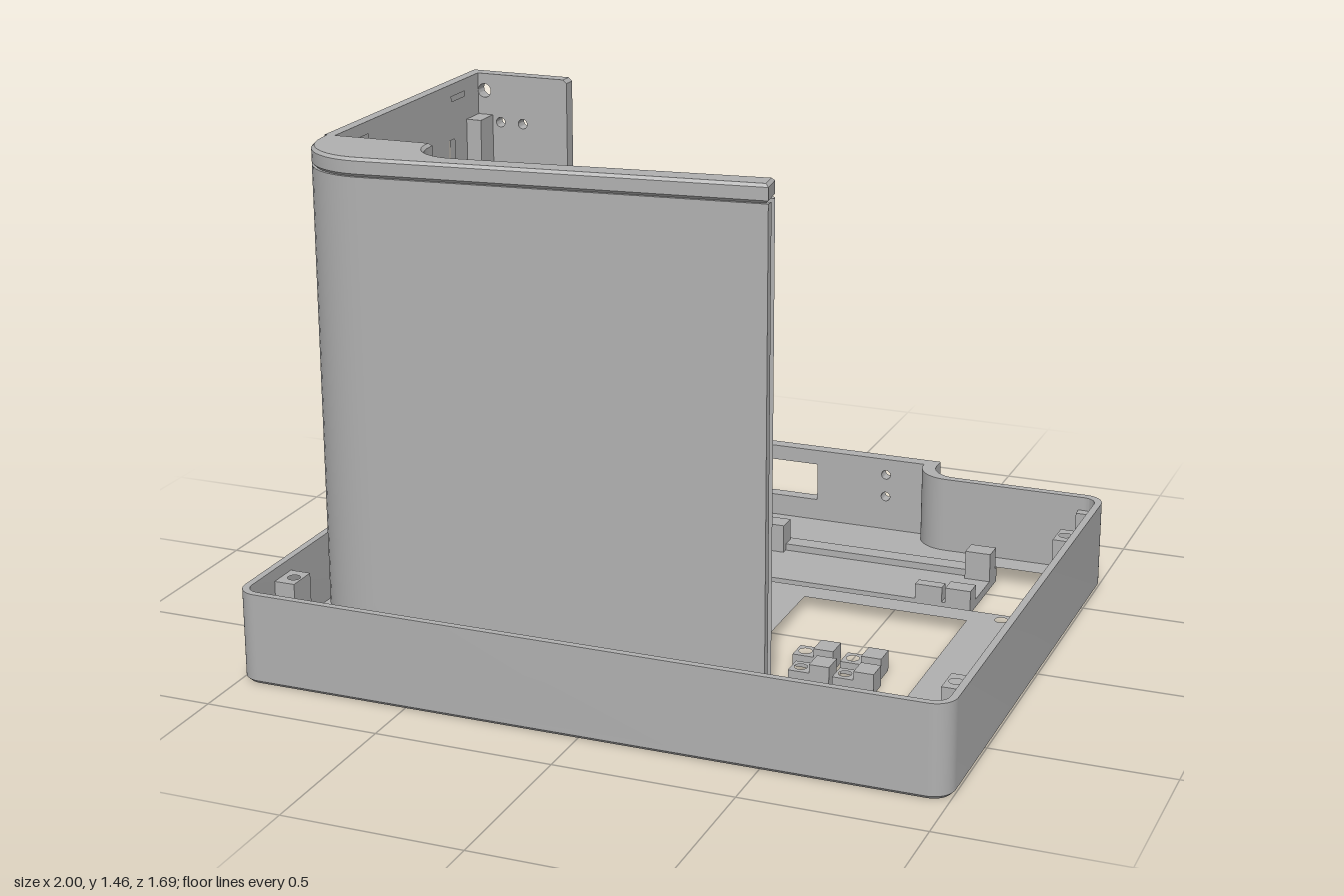
import * as THREE from 'three';
import { toCreasedNormals } from 'three/addons/utils/BufferGeometryUtils.js';

const grey = new THREE.MeshStandardMaterial({ color: 0xb0b0b0 });
grey.name = 'plain grey';

// Trace corners [x, y, radius] into a shape or hole; a radius rounds the corner.
function trace(path, pts) {
  const n = pts.length;
  pts.forEach(([x, y, r = 0], i) => {
    const p = new THREE.Vector2(x, y);
    const toward = (q) => new THREE.Vector2(q[0], q[1]).sub(p).setLength(r).add(p);
    const a = r ? toward(pts[(i + n - 1) % n]) : p;
    if (i) path.lineTo(a.x, a.y);
    else path.moveTo(a.x, a.y);
    if (r) {
      const b = toward(pts[(i + 1) % n]);
      const k = 0.56;
      path.bezierCurveTo(a.x + (x - a.x) * k, a.y + (y - a.y) * k,
        b.x + (x - b.x) * k, b.y + (y - b.y) * k, b.x, b.y);
    }
  });
  path.closePath();
  return path;
}
const rect = (x0, y0, x1, y1, r = 0) => [[x0, y0, r], [x1, y0, r], [x1, y1, r], [x0, y1, r]];
const round = (x, y, r) => rect(x - r, y - r, x + r, y + r, r * 0.999);

function extrude(pts, holes, depth, bevel = 0) {
  const shape = trace(new THREE.Shape(), pts);
  holes.forEach((h) => shape.holes.push(trace(new THREE.Path(), h)));
  const geo = new THREE.ExtrudeGeometry(shape, {
    depth: depth - 2 * bevel, curveSegments: 12, bevelEnabled: bevel > 0,
    bevelThickness: bevel, bevelSize: bevel, bevelOffset: -bevel, bevelSegments: 1,
  });
  geo.translate(0, 0, bevel);
  return toCreasedNormals(geo, 0.5);
}

function add(parent, name, geo) {
  const mesh = new THREE.Mesh(geo, grey);
  mesh.name = name;
  parent.add(mesh);
  return mesh;
}
// Floor-plan outline in (x, z), raised from y0 to y1
function plan(parent, name, pts, holes, y0, y1, bevel = 0) {
  const flip = (list) => list.map(([x, z, r]) => [x, -z, r]);
  const geo = extrude(flip(pts), holes.map(flip), y1 - y0, bevel);
  return add(parent, name, geo.rotateX(-Math.PI / 2).translate(0, y0, 0));
}
// Upright plate outlined in (x, y), from z0 to z1
function upright(parent, name, pts, holes, z0, z1) {
  return add(parent, name, extrude(pts, holes, z1 - z0).translate(0, 0, z0));
}
// Upright plate outlined in (z, y), from x0 to x1
function sideways(parent, name, pts, holes, x0, x1) {
  const flip = (list) => list.map(([z, y, r]) => [-z, y, r]);
  const geo = extrude(flip(pts), holes.map(flip), x1 - x0);
  return add(parent, name, geo.rotateY(Math.PI / 2).translate(x0, 0, 0));
}
function block(parent, name, x0, x1, y0, y1, z0, z1) {
  const geo = new THREE.BoxGeometry(x1 - x0, y1 - y0, z1 - z0);
  return add(parent, name, geo.translate((x0 + x1) / 2, (y0 + y1) / 2, (z0 + z1) / 2));
}
function group(parent, name) {
  const g = new THREE.Group();
  g.name = name;
  parent.add(g);
  return g;
}

function buildTray(model) {
  const tray = group(model, 'tray');
  const H = 0.26;
  // Floor ring with a chamfered lower edge
  plan(tray, 'trayFloor', [
    [-1, -0.85], [0.46, -0.85], [0.46, -0.73, 0.08], [1, -0.73, 0.06],
    [1, 0.84, 0.06], [-1, 0.84, 0.06],
  ], [rect(-0.9, -0.64, 0.895, 0.75, 0.02)], 0, 0.035, 0.01);
  // Thin wall around the sides and front, ending at the stepped back corner
  plan(tray, 'trayWall', [
    [-1, -0.81], [-1, 0.84, 0.06], [1, 0.84, 0.06], [1, -0.73, 0.06], [0.46, -0.73, 0.08],
    [0.46, -0.85], [0.42, -0.85], [0.42, -0.705, 0.1], [0.98, -0.705, 0.04],
    [0.98, 0.82, 0.04], [-0.98, 0.82, 0.04], [-0.98, -0.81],
  ], [], 0.01, H);
  // Back panel with two port windows and screw holes
  const holes = [rect(-0.61, 0.09, -0.28, 0.2), rect(-0.26, 0.1, 0.08, 0.215)];
  for (const x of [-0.85, 0.3]) for (const y of [0.14, 0.21]) holes.push(round(x, y, 0.014));
  upright(tray, 'backPanel', rect(-1, 0.01, 0.42, H), holes, -0.85, -0.81);
  // Screw posts and low rails on both sides
  for (const s of [-1, 1]) {
    const span = (x0, x1) => (s > 0 ? [x0, x1] : [-x1, -x0]);
    const [a, b] = span(0.92, 0.985);
    plan(tray, 'sideRail', rect(a, -0.69, b, 0.81),
      [-0.475, -0.315, 0.455, 0.615].map((z) => round(s * 0.945, z, 0.018)), 0.03, 0.06);
    for (const z of [-0.475, 0.615]) {
      plan(tray, 'screwPost', rect(a, z - 0.045, b, z + 0.045),
        [round(s * 0.945, z, 0.018)], 0.06, 0.225);
    }
    for (const z of [-0.69, 0.8]) {
      const [c, d] = span(0.925, 0.985);
      block(tray, 'cornerRib', c, d, 0.03, 0.22, z - 0.015, z + 0.015);
    }
  }
}

function buildTower(model) {
  const tower = group(model, 'tower');
  const H = 1.46;
  // Slanted front wall and rounded corner, grooved along its free end
  const inner = [[-0.81, 0.52], [-0.535, 0.51], [-0.53, 0.655, 0.12]];
  const outer = [[-0.64, 0.735, 0.2], [-0.84, 0.75, 0.2], [-0.84, 0.5]];
  outer.splice(0, 2, [-0.835, 0.758, 0.2]);
  plan(tower, 'frontWall', [...inner, [0.42, 0.532], [0.427, 0.55], [0.37, 0.556],
    [0.375, 0.59], [0.43, 0.584], [0.43, 0.607], ...outer], [], 0, 1.41);
  plan(tower, 'frontWallCap', [...inner, [0.42, 0.532], [0.43, 0.607], ...outer],
    [], 1.41, H, 0.008);
  // Side wall in two skins: through slots, plus shallow slits inside
  const slots = [rect(-0.17, 0.78, -0.135, 1.3), rect(-0.17, 0.17, -0.135, 0.69)];
  const slits = [rect(-0.24, 1.41, -0.155, 1.425), rect(0.345, 1.41, 0.43, 1.425)];
  sideways(tower, 'sideWallOuter', rect(-0.33, 0, 0.53, H), slots, -0.84, -0.825);
  sideways(tower, 'sideWallInner', rect(-0.33, 0, 0.53, H), [...slots, ...slits], -0.825, -0.81);
  // Back plate with a tall opening and screw holes
  const holes = [rect(-0.78, 0.38, -0.64, 1.1), round(-0.79, 1.41, 0.02)];
  for (const x of [-0.74, -0.67]) for (const y of [0.145, 1.32]) holes.push(round(x, y, 0.014));
  upright(tower, 'backPlate', [[-0.84, 0], [-0.53, 0], [-0.53, H - 0.01], [-0.54, H], [-0.84, H]],
    holes, -0.37, -0.33);
  // Foot with a cable slot
  plan(tower, 'towerFoot', rect(-0.82, -0.34, -0.53, 0.53),
    [rect(-0.765, 0.12, -0.725, 0.25)], 0, 0.03);
  // Inside rails and bracket
  block(tower, 'backRail', -0.812, -0.765, 0.03, 1.34, -0.33, -0.25);
  block(tower, 'frontRail', -0.812, -0.775, 0.03, 0.76, 0.46, 0.52);
  sideways(tower, 'bracket', rect(-0.33, 0.03, -0.25, 0.76), [round(-0.285, 0.605, 0.018)],
    -0.615, -0.56);
  // Diamond stand-offs
  for (const [z, y] of [[0.02, 1.18], [0.165, 0.965], [-0.22, 0.38]]) {
    const d = 0.047;
    sideways(tower, 'standOff', [[z - d, y], [z, y - d], [z + d, y], [z, y + d]],
      [round(z, y, 0.018)], -0.815, -0.765);
  }
}

function buildPlates(model) {
  // Vented plate with a large window
  const vented = group(model, 'ventedPlate');
  const holes = [rect(0.245, -0.23, 0.73, 0.48)];
  for (let i = 0; i < 6; i++) holes.push(rect(-0.335 + i * 0.06, 0.02, -0.305 + i * 0.06, 0.345));
  for (const [x, z] of [[-0.38, -0.27], [0.05, -0.27], [0.82, -0.27], [0.82, 0.37]]) {
    holes.push(round(x, z, 0.018));
  }
  plan(vented, 'ventedPanel', rect(-0.505, -0.305, 0.86, 0.515), holes, 0, 0.025);
  for (const x of [-0.31, -0.035]) block(vented, 'plateTab', x, x + 0.135, 0, 0.05, 0.465, 0.535);

  // Small rear plate with a raised lip and clips
  const rear = group(model, 'rearPlate');
  block(rear, 'rearPanel', -0.145, 0.71, 0, 0.025, -0.585, -0.335);
  block(rear, 'rearLip', -0.11, 0.71, 0, 0.045, -0.61, -0.555);
  for (const x of [-0.005, 0.635]) block(rear, 'tallClip', x, x + 0.075, 0, 0.11, -0.595, -0.535);
  block(rear, 'frontClip', -0.04, 0.035, 0, 0.06, -0.37, -0.335);
  block(rear, 'frontClip', 0.545, 0.625, 0, 0.07, -0.37, -0.335);
  block(rear, 'frontClip', 0.635, 0.71, 0, 0.07, -0.39, -0.335);

  // Four loose stepped clamps
  for (const [x, z] of [[0.36, 0.16], [0.497, 0.16], [0.384, 0.265], [0.51, 0.265]]) {
    const clamp = group(model, 'clamp');
    plan(clamp, 'clampFoot', rect(x, z - 0.033, x + 0.06, z + 0.033),
      [round(x + 0.026, z, 0.018)], 0, 0.035);
    block(clamp, 'clampStep', x + 0.06, x + 0.117, 0, 0.06, z - 0.033, z + 0.033);
  }
}

export function createModel() {
  const model = new THREE.Group();
  model.name = 'enclosureParts';
  buildTray(model);
  buildTower(model);
  buildPlates(model);
  return model;
}
